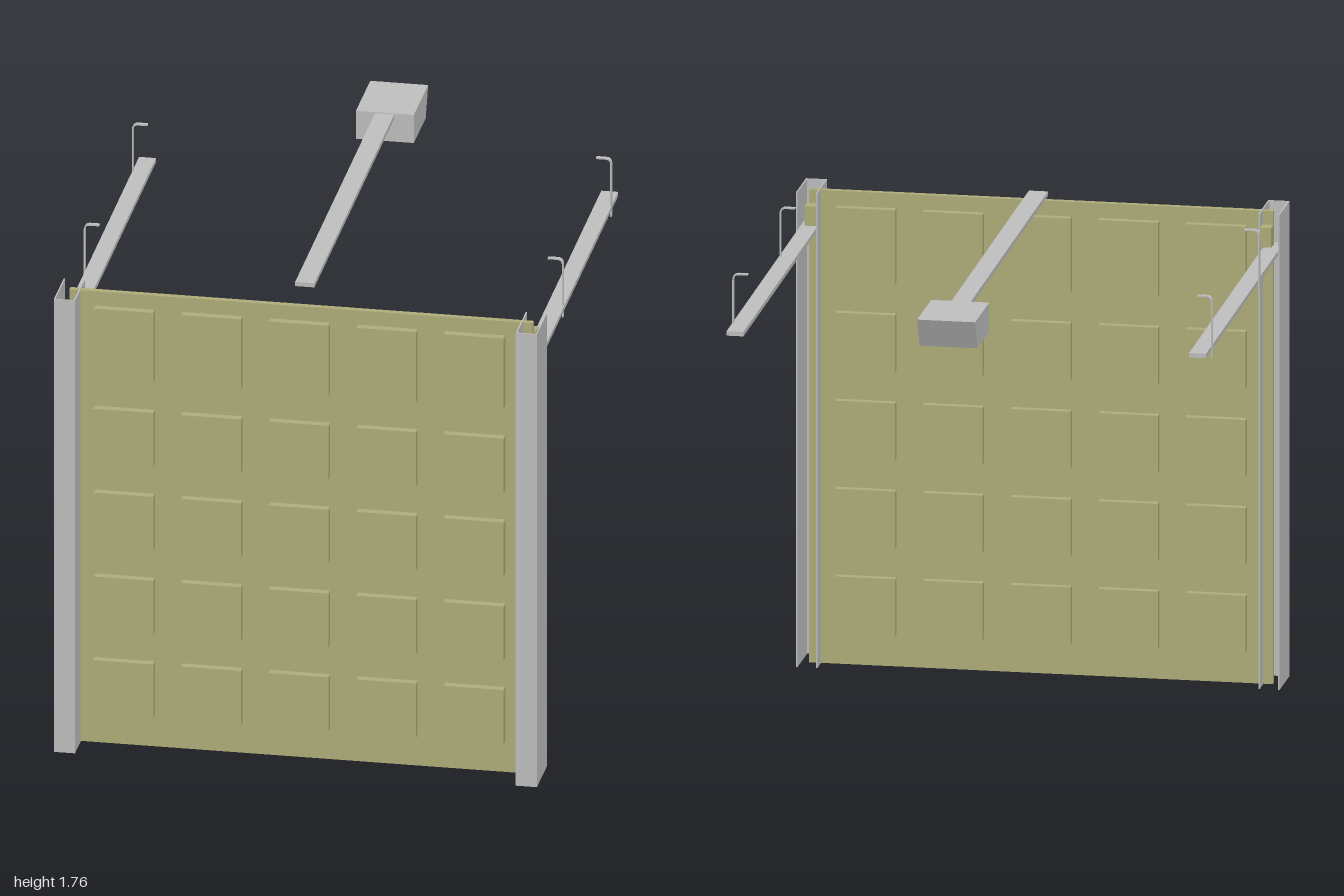
import * as THREE from 'three';

const steel = new THREE.MeshStandardMaterial({ color: 0xc0c0c0 });
steel.name = 'galvanised steel';
const olive = new THREE.MeshStandardMaterial({ color: 0xb0ae7a });
olive.name = 'olive door paint';

function add(parent, name, geometry, material) {
  const mesh = new THREE.Mesh(geometry, material);
  mesh.name = name;
  parent.add(mesh);
  return mesh;
}

// Box given by its low and high limits on each axis
function block(parent, name, material, [x0, x1], [y0, y1], [z0, z1]) {
  const mesh = add(parent, name, new THREE.BoxGeometry(x1 - x0, y1 - y0, z1 - z0), material);
  mesh.position.set((x0 + x1) / 2, (y0 + y1) / 2, (z0 + z1) / 2);
  return mesh;
}

function polygon(points) {
  return new THREE.Shape(points.map(([x, y]) => new THREE.Vector2(x, y)));
}

// Door slab with raised panels showing on both faces
function makeDoor() {
  const door = new THREE.Group();
  door.name = 'door';
  block(door, 'doorSlab', olive, [-0.82, 0.82], [0.003, 1.705], [0.87, 0.893]);
  const rows = [[0.119, 0.324], [0.435, 0.64], [0.752, 0.957], [1.069, 1.274], [1.386, 1.652]];
  for (const row of rows) {
    for (let i = -2; i <= 2; i++) {
      const x = i * 0.31 - 0.003;
      block(door, 'raisedPanel', olive, [x - 0.106, x + 0.106], row, [0.841, 0.923]);
    }
  }
  return door;
}

// Upright channel, open towards the back, with a small roller bracket inside
function makePost(side) {
  const post = new THREE.Group();
  post.name = side > 0 ? 'leftPost' : 'rightPost';
  const a = side * 0.78, b = side * 0.855;
  const x0 = Math.min(a, b), x1 = Math.max(a, b), t = 0.005;
  const outline = polygon([
    [x0, -0.81], [x0, -1], [x1, -1], [x1, -0.81],
    [x1 - t, -0.81], [x1 - t, -1 + t], [x0 + t, -1 + t], [x0 + t, -0.81],
  ]);
  const channel = new THREE.ExtrudeGeometry(outline, { depth: 1.71, bevelEnabled: false });
  channel.rotateX(-Math.PI / 2);
  add(post, 'postChannel', channel, steel);
  block(post, 'rollerBracket', olive,
    [side * 0.804 - 0.021, side * 0.804 + 0.021], [1.59, 1.66], [0.811, 0.857]);
  return post;
}

// Horizontal track with two hooked hangers
function makeTrack(side) {
  const track = new THREE.Group();
  track.name = side > 0 ? 'leftTrack' : 'rightTrack';
  const cx = side * 0.818 - 0.004;
  const rail = block(track, 'trackRail', steel, [cx - 0.03, cx + 0.03], [1.564, 1.58], [-0.605, 0.92]);
  rail.rotation.y = 0.003;

  // Hanger strap: upright, rounded corner, short inward lip
  const strap = new THREE.Shape();
  const outer = side * 0.849 - 0.007, lip = outer - side * 0.055, t = side * 0.005;
  strap.moveTo(outer, 1.538);
  strap.lineTo(outer, 1.735);
  strap.quadraticCurveTo(outer, 1.758, outer - side * 0.022, 1.758);
  strap.lineTo(lip, 1.758);
  strap.lineTo(lip, 1.753);
  strap.lineTo(outer - side * 0.022, 1.753);
  strap.quadraticCurveTo(outer - t, 1.753, outer - t, 1.735);
  strap.lineTo(outer - t, 1.538);
  for (const z of [0.425, -0.485]) {
    const geometry = new THREE.ExtrudeGeometry(strap, { depth: 0.016, bevelEnabled: false, curveSegments: 5 });
    add(track, 'hanger', geometry, steel).position.z = z - 0.008;
  }
  return track;
}

// Motor housing with a sloping back, and its drive rail
function makeOpener() {
  const opener = new THREE.Group();
  opener.name = 'opener';
  const rail = block(opener, 'driveRail', steel, [-0.04, 0.028], [1.741, 1.757], [-0.735, 0.802]);
  rail.rotation.y = 0.003;
  const profile = polygon([[0.728, 1.655], [0.953, 1.655], [1, 1.761], [0.728, 1.761]]);
  const housing = new THREE.ExtrudeGeometry(profile, { depth: 0.205, bevelEnabled: false });
  housing.rotateY(Math.PI / 2);
  add(opener, 'motorHousing', housing, steel).position.x = -0.11;
  // The profile runs towards the back
  return opener;
}

export function createModel() {
  const model = new THREE.Group();
  model.name = 'garageDoor';
  model.add(makeDoor(), makeOpener());
  for (const side of [-1, 1]) model.add(makePost(side), makeTrack(side));
  return model;
}
